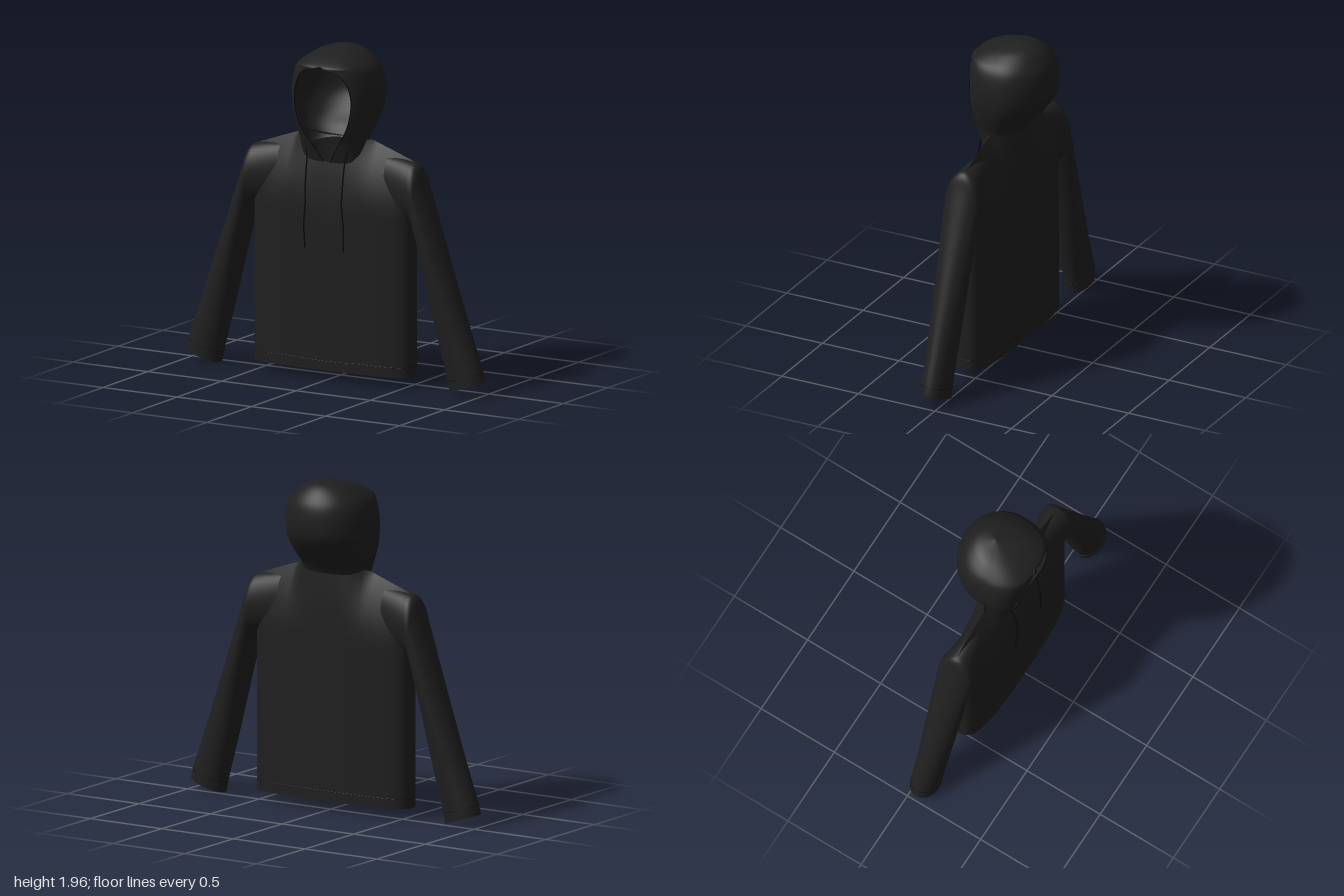
import * as THREE from 'three';

const fabric = new THREE.MeshStandardMaterial({ color: 0x1f1f1f, side: THREE.DoubleSide });
fabric.name = 'charcoal fabric';
const trim = new THREE.MeshStandardMaterial({ color: 0x0a0a0a });
trim.name = 'black trim';

const spow = (v, p) => Math.sign(v) * Math.pow(Math.abs(v), p);

// Smooth interpolation through a table of cross-section rows
function sample(rows, t) {
  const f = t * (rows.length - 1);
  const i = Math.min(Math.floor(f), rows.length - 2);
  const u = f - i;
  const at = (k) => rows[Math.max(0, Math.min(rows.length - 1, k))];
  return rows[i].map((b, k) => {
    const a = at(i - 1)[k], c = at(i + 1)[k], d = at(i + 2)[k];
    return b + 0.5 * u * (c - a + u * (2 * a - 5 * b + 4 * c - d + u * (3 * (b - c) + d - a)));
  });
}

// Skin of a grid of points: point(t, s) with t along the part and s around it
function loft(name, rows, cols, closed, point) {
  const pos = [], idx = [];
  const n = closed ? cols : cols + 1;
  for (let i = 0; i <= rows; i++) {
    for (let j = 0; j < n; j++) pos.push(...point(i / rows, j / cols).toArray());
  }
  for (let i = 0; i < rows; i++) {
    for (let j = 0; j < cols; j++) {
      const a = i * n + j, b = i * n + ((j + 1) % n);
      idx.push(a, a + n, b, b, a + n, b + n);
    }
  }
  const geo = new THREE.BufferGeometry();
  geo.setAttribute('position', new THREE.Float32BufferAttribute(pos, 3));
  geo.setIndex(idx);
  geo.computeVertexNormals();
  const mesh = new THREE.Mesh(geo, fabric);
  mesh.name = name;
  return mesh;
}

function cord(name, points, radius, closed = false) {
  const curve = new THREE.CatmullRomCurve3(points, closed);
  const mesh = new THREE.Mesh(new THREE.TubeGeometry(curve, points.length * 4, radius, 6, closed), trim);
  mesh.name = name;
  return mesh;
}

const ring = (fn, t, n) => Array.from({ length: n }, (_, j) => fn(t, j / n));

// Torso: rounded section, closing to a ridge at the shoulders and open at the neck
function torsoPoint(t, s) {
  const a = s * Math.PI * 2;
  const x = 0.53 * spow(Math.cos(a), 2 / 3);
  const side = spow(Math.sin(a), 2 / 3);
  const neck = Math.max(0, 1 - (x / 0.22) ** 2);
  const slope = 1.44 - 0.35 * Math.max(0, Math.abs(x) - 0.22);
  const top = slope - neck * (side > 0 ? 0.15 : 0.03);
  const u = Math.max(0, (t - 0.7) / 0.3);
  const depth = THREE.MathUtils.lerp(0.125 * side, 0.1 * Math.sqrt(neck) * Math.sign(side), u * u);
  const mid = THREE.MathUtils.lerp(0.055, 0.045, u * u);
  return new THREE.Vector3(x, 0.065 + (top - 0.065) * t, mid + depth);
}

// Sleeve rows: outer x, outer y, inner x, inner y, half depth, centre z
const sleeveRows = [
  [0.36, 1.35, 0.36, 1.0, 0.075, 0.05],
  [0.5, 1.335, 0.48, 0.985, 0.098, 0.052],
  [0.565, 1.31, 0.537, 0.965, 0.11, 0.053],
  [0.605, 1.2, 0.56, 0.9, 0.112, 0.053],
  [0.7, 0.93, 0.615, 0.68, 0.105, 0.053],
  [0.8, 0.65, 0.675, 0.42, 0.096, 0.053],
  [0.9, 0.37, 0.735, 0.18, 0.087, 0.053],
  [0.98, 0.15, 0.76, 0.08, 0.084, 0.053],
  [1.0, 0.08, 0.775, 0.005, 0.083, 0.053],
];
const sleevePoint = (sign) => (t, s) => {
  const [ox, oy, ix, iy, d, z] = sample(sleeveRows, t);
  const a = s * Math.PI * 2, k = (1 + Math.cos(a)) / 2;
  return new THREE.Vector3(sign * (ix + (ox - ix) * k), iy + (oy - iy) * k, z + d * Math.sin(a));
};

// Hood rows: front y, back y, half width, front z, back z, half opening
const hoodRows = [
  [1.29, 1.4, 0.205, 0.152, -0.05, 0.02],
  [1.4, 1.46, 0.215, 0.185, -0.09, 0.09],
  [1.48, 1.53, 0.237, 0.215, -0.16, 0.145],
  [1.57, 1.63, 0.262, 0.235, -0.23, 0.18],
  [1.68, 1.72, 0.269, 0.24, -0.243, 0.19],
  [1.78, 1.81, 0.256, 0.24, -0.235, 0.162],
  [1.84, 1.87, 0.23, 0.24, -0.208, 0.1],
  [1.87, 1.92, 0.185, 0.235, -0.165, 0],
  [1.92, 1.948, 0.115, 0.13, -0.115, 0],
  [1.963, 1.963, 0, -0.03, -0.03, 0],
];
function hoodPoint(t, s) {
  const [yf, yb, w, zf, zb, open] = sample(hoodRows, t);
  const gap = w > 0.001 ? Math.min(1, Math.max(0, open) / w) : 0;
  const start = Math.asin(Math.pow(gap, 1.4));
  const a = start + s * (Math.PI * 2 - 2 * start);
  const c = Math.cos(a);
  // squarer at the face, round at the back
  const p = c > 0 ? 1 / 1.4 : 1;
  const zm = (zf + zb) / 2, k = spow(c, p);
  return new THREE.Vector3(w * spow(Math.sin(a), p), (yf + yb) / 2 + k * (yf - yb) / 2, zm + k * (zf - zb) / 2);
}

export function createModel() {
  const model = new THREE.Group();
  model.name = 'hooded sweatshirt';
  model.add(loft('torso', 40, 96, true, torsoPoint));
  model.add(cord('hemSeam', ring(torsoPoint, 0.045, 64), 0.002, true));
  model.add(loft('hood', 45, 64, false, hoodPoint));

  // Edge of the face opening
  const rim = [];
  for (let i = 0; i <= 22; i++) rim.push(hoodPoint((i / 22) * 0.77, 0));
  for (let i = 21; i >= 0; i--) rim.push(hoodPoint((i / 22) * 0.77, 1));
  model.add(cord('hoodRim', rim, 0.003));

  for (const [sign, label] of [[1, 'left'], [-1, 'right']]) {
    const point = sleevePoint(sign);
    model.add(loft(label + 'Sleeve', 48, 40, true, point));
    model.add(cord(label + 'CuffSeam', ring(point, 0.89, 32), 0.002, true));
    // Drawstring hanging clear of the chest
    const path = [[0.145, 1.4, 0.15], [0.128, 1.3, 0.168], [0.125, 1.17, 0.188], [0.122, 1.05, 0.195],
      [0.133, 0.92, 0.193], [0.13, 0.78, 0.186]];
    model.add(cord(label + 'Drawstring', path.map(([x, y, z]) => new THREE.Vector3(sign * x, y, z)), 0.005));
  }
  return model;
}
